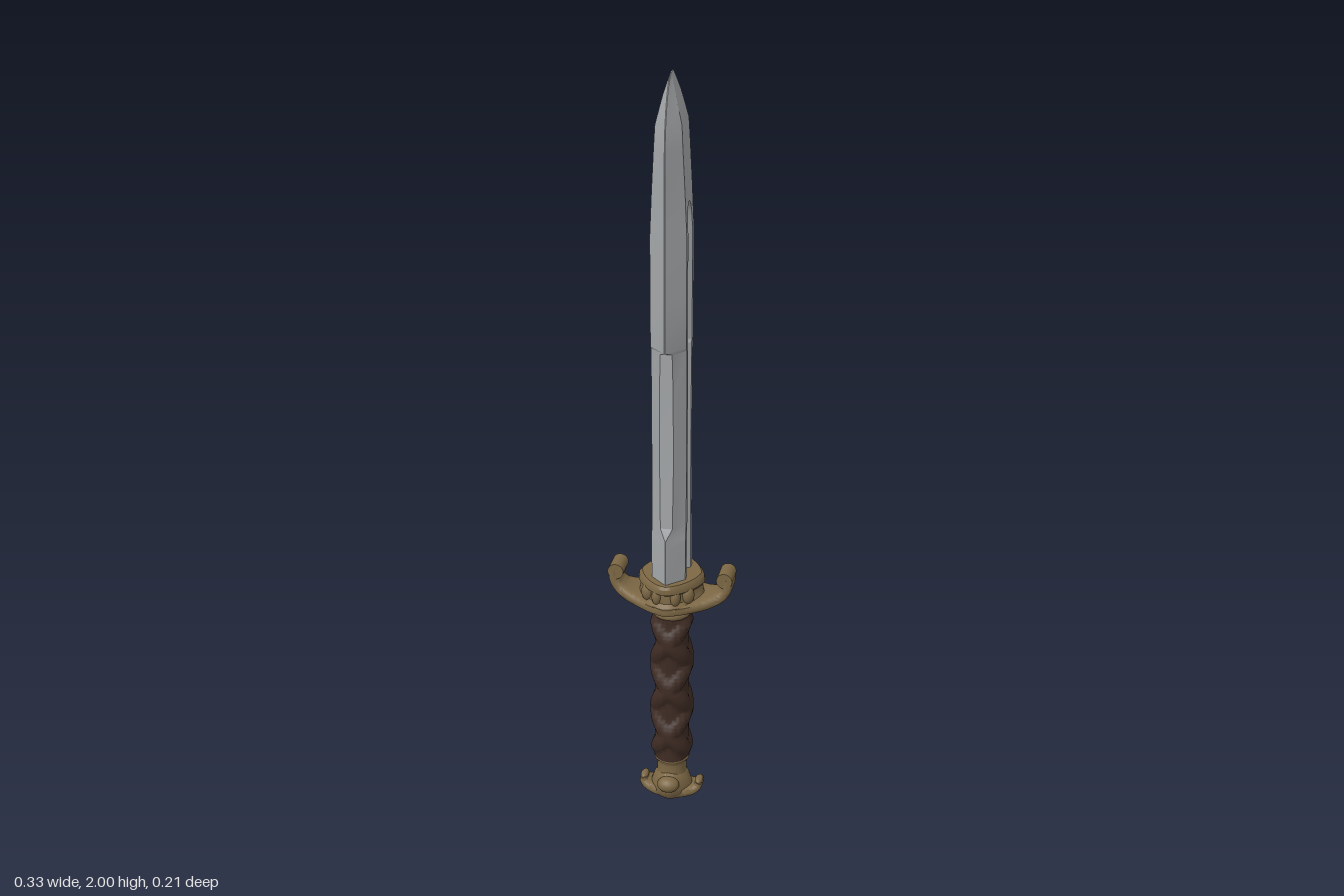
import * as THREE from 'three';
import { mergeVertices, toCreasedNormals } from 'three/addons/utils/BufferGeometryUtils.js';

const steel = new THREE.MeshStandardMaterial({ color: 0xa4a7a9 });
steel.name = 'steel';
const brass = new THREE.MeshStandardMaterial({ color: 0x7d6845 });
brass.name = 'brass';
const leather = new THREE.MeshStandardMaterial({ color: 0x3f2c24 });
leather.name = 'leather';

// Skin a list of equal-length rings, counterclockwise about their direction of travel
function loft(rings, crease = 0.6) {
  const n = rings[0].length, pos = [], idx = [];
  rings.forEach(r => r.forEach(p => pos.push(...p)));
  for (let j = 0; j < rings.length - 1; j++)
    for (let i = 0; i < n; i++) {
      const a = j * n + i, b = j * n + (i + 1) % n;
      idx.push(a, b, b + n, a, b + n, a + n);
    }
  [0, rings.length - 1].forEach((j, end) => {
    const c = [0, 1, 2].map(k => rings[j].reduce((s, p) => s + p[k], 0) / n);
    const m = pos.length / 3;
    pos.push(...c);
    for (let i = 0; i < n; i++) {
      const a = j * n + i, b = j * n + (i + 1) % n;
      idx.push(...(end ? [m, a, b] : [m, b, a]));
    }
  });
  const g = new THREE.BufferGeometry();
  g.setAttribute('position', new THREE.Float32BufferAttribute(pos, 3));
  g.setIndex(idx);
  return toCreasedNormals(mergeVertices(g, 1e-5), crease);
}

// Piecewise linear lookup in [[key, value], ...]
function lerpTable(table, t) {
  for (let i = 1; i < table.length; i++)
    if (t <= table[i][0]) {
      const [a, u] = table[i - 1], [b, v] = table[i];
      return u + (v - u) * Math.max(0, (t - a) / (b - a));
    }
  return table[table.length - 1][1];
}

const power = (v, e) => Math.sign(v) * Math.abs(v) ** e;

// Sweep a rounded box section along a path in the xy plane: points [x, y, half thickness]
function sweep(points, halfWidth, steps) {
  const curve = new THREE.CatmullRomCurve3(points.map(p => new THREE.Vector3(...p)));
  const rings = [];
  for (let j = 0; j <= steps; j++) {
    const p = curve.getPoint(j / steps), t = curve.getTangent(j / steps);
    const l = Math.hypot(t.x, t.y), w = halfWidth(Math.abs(p.x));
    rings.push(Array.from({ length: 20 }, (_, i) => {
      const a = i / 20 * Math.PI * 2;
      const u = p.z * power(Math.cos(a), 0.5), v = w * power(Math.sin(a), 0.5);
      return [p.x - t.y / l * u, p.y + t.x / l * u, v];
    }));
  }
  return loft(rings, 0.8);
}

const mirrorPath = half => [...half.slice(1).reverse().map(([x, y, h]) => [-x, y, h]), ...half];

// Hexagonal blade with a fuller on both faces and a blunted recess in both edges
function bladeGeometry() {
  const width = [[0.62, 0.088], [0.78, 0.088], [0.8, 0.086], [0.83, 0.073], [1.0, 0.07], [1.2, 0.071],
    [1.308, 0.074], [1.316, 0.092], [1.45, 0.092], [1.6, 0.09], [1.82, 0.088], [1.87, 0.084],
    [1.92, 0.071], [1.95, 0.059], [1.975, 0.044], [1.99, 0.03], [2, 0.014]];
  const thick = [[0.62, 0.044], [1.6, 0.046], [1.72, 0.041], [1.88, 0.033], [1.95, 0.016], [2, 0.0015]];
  const fuller = [[0.62, 0.028], [1.62, 0.028], [1.65, 0.025], [1.672, 0.017], [1.683, 0.004]];
  const depth = [[0.62, 0.012], [1.655, 0.012], [1.683, 0], [2, 0]];
  const ys = [...new Set([...width, ...thick, ...fuller, ...depth].map(p => p[0]))].sort((a, b) => a - b);
  return loft(ys.map(y => {
    const w = lerpTable(width, y), t = lerpTable(thick, y);
    const g = Math.min(lerpTable(fuller, y), w * 0.3), d = lerpTable(depth, y);
    const f = Math.min(0.046, w * 0.52);
    const recessed = y > 0.8 && y < 1.312;
    const e = recessed ? t * (0.092 - w) / (0.092 - f) : 0.001;
    const half = [[e, w], [t, f], [t, g], [t - d, g * 0.7], [t - d, -g * 0.7], [t, -g], [t, -f], [e, -w]];
    return [...half.map(([x, z]) => [x, y, z]), ...half.map(([x, z]) => [-x, y, -z])];
  }), 0.35);
}

// Grip with two crossing helical wraps
function gripGeometry() {
  const rings = [], n = 48, steps = 90;
  for (let j = 0; j <= steps; j++) {
    const y = 0.12 + 0.44 * j / steps, k = (y - 0.2) * Math.PI * 2 / 0.14;
    const fade = Math.min(1, (y - 0.12) / 0.03, (0.56 - y) / 0.03);
    rings.push(Array.from({ length: n }, (_, i) => {
      const a = i / n * Math.PI * 2;
      const bump = Math.max(Math.cos(2 * a + k), Math.cos(2 * a - k), -0.2);
      const r = 0.047 + 0.013 * fade * Math.max(0, bump) ** 0.8;
      return [r * 0.96 * Math.sin(a), y, r * 1.03 * Math.cos(a)];
    }));
  }
  return loft(rings, 0.9);
}

// Pointed oval block; profile rows are [y, half x, half z]
function ovalBlock(profile) {
  return loft(profile.map(([y, a, b]) => Array.from({ length: 40 }, (_, i) => {
    const t = i / 40 * Math.PI * 2;
    return [a * power(Math.sin(t), 1.3), y, b * power(Math.cos(t), 1.3)];
  })), 0.7);
}

export function createModel() {
  const model = new THREE.Group();
  const add = (name, geometry, material, parent = model) => {
    const mesh = new THREE.Mesh(geometry, material);
    mesh.name = name;
    parent.add(mesh);
    return mesh;
  };
  const boss = (name, parent, x, y, z, sx, sy, sz) => {
    const mesh = add(name, new THREE.SphereGeometry(1, 16, 12), brass, parent);
    mesh.position.set(x, y, z);
    mesh.scale.set(sx, sy, sz);
    return mesh;
  };

  add('blade', bladeGeometry(), steel);
  add('grip', gripGeometry(), leather);

  // Guard: upswept arms, scroll ends, waisted centre and side bosses
  const guard = new THREE.Group();
  guard.name = 'guard';
  model.add(guard);
  const armWidth = [[0, 0.104], [0.03, 0.096], [0.06, 0.079], [0.09, 0.06], [0.12, 0.044], [0.14, 0.035], [0.17, 0.032]];
  const arms = mirrorPath([[0, 0.602, 0.016], [0.05, 0.602, 0.016], [0.1, 0.608, 0.016],
    [0.135, 0.625, 0.015], [0.15, 0.65, 0.014], [0.152, 0.675, 0.012]]);
  add('guardArms', sweep(arms, x => lerpTable(armWidth, x), 64), brass, guard);
  add('guardCentre', ovalBlock([[0.59, 0.09, 0.1], [0.612, 0.095, 0.104], [0.622, 0.085, 0.092],
    [0.645, 0.082, 0.09], [0.653, 0.088, 0.104], [0.668, 0.086, 0.105], [0.676, 0.078, 0.099]]), brass, guard);
  for (const sx of [-1, 1]) {
    const curl = add('guardScroll', new THREE.CylinderGeometry(0.021, 0.021, 0.066, 20), brass, guard);
    curl.rotation.x = Math.PI / 2;
    curl.position.set(sx * 0.144, 0.673, 0);
    for (const sz of [-1, 1]) {
      boss('guardBoss', guard, sx * 0.052, 0.637, sz * 0.054, 0.018, 0.026, 0.018);
      boss('guardBoss', guard, sx * 0.024, 0.637, sz * 0.078, 0.014, 0.025, 0.016);
    }
  }
  add('guardCollar', new THREE.LatheGeometry([[0.001, 0.55], [0.047, 0.55], [0.051, 0.556], [0.051, 0.564],
    [0.046, 0.57], [0.048, 0.58], [0.056, 0.592], [0.001, 0.594]].map(p => new THREE.Vector2(...p)), 32), brass, guard);

  // Pommel: collar, flared foot, curled side horns and face bosses
  const pommel = new THREE.Group();
  pommel.name = 'pommel';
  model.add(pommel);
  add('pommelCollar', new THREE.LatheGeometry([[0.001, 0.03], [0.045, 0.04], [0.04, 0.07], [0.039, 0.1],
    [0.042, 0.11], [0.047, 0.115], [0.047, 0.126], [0.001, 0.127]].map(p => new THREE.Vector2(...p)), 32), brass, pommel);
  add('pommelFoot', ovalBlock([[0, 0.035, 0.04], [0.006, 0.055, 0.05], [0.02, 0.06, 0.06],
    [0.04, 0.055, 0.066], [0.065, 0.046, 0.06], [0.08, 0.036, 0.04]]), brass, pommel);
  const horns = mirrorPath([[0, 0.02, 0.015], [0.035, 0.02, 0.015], [0.06, 0.024, 0.013],
    [0.074, 0.034, 0.011], [0.077, 0.046, 0.008]]);
  const hornWidth = [[0, 0.05], [0.04, 0.042], [0.085, 0.022]];
  add('pommelHorns', sweep(horns, x => lerpTable(hornWidth, x), 40), brass, pommel);
  for (const s of [-1, 1]) {
    boss('pommelBoss', pommel, 0, 0.053, s * 0.052, 0.03, 0.022, 0.025);
    boss('hornTip', pommel, s * 0.075, 0.046, 0, 0.011, 0.01, 0.022);
  }
  return model;
}
